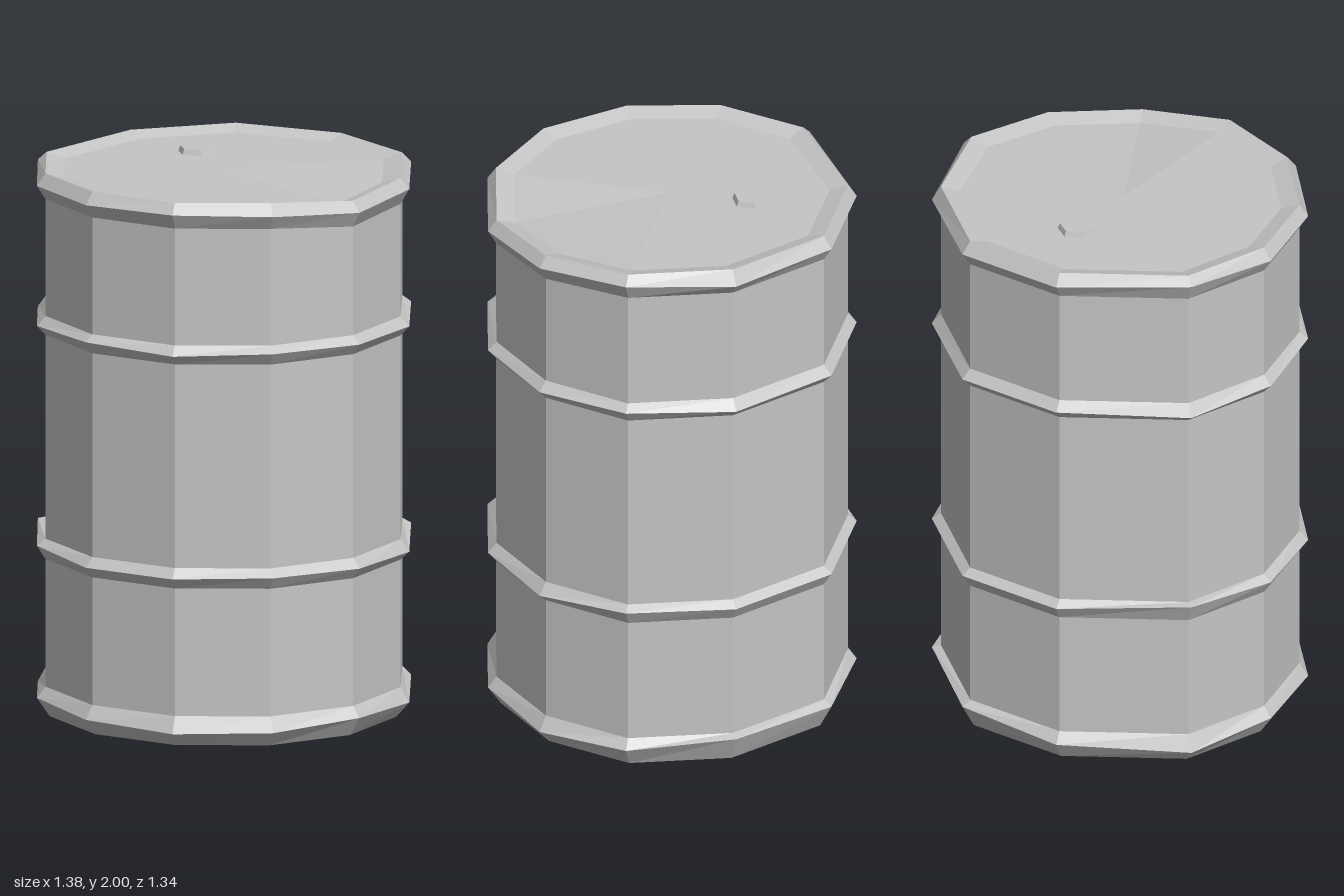
import * as THREE from 'three';

const steel = new THREE.MeshStandardMaterial({ color: 0xc5c5c5 });
steel.name = 'light grey steel';

// uneven eleven-sided outline (x, z) at the widest point of the hoops
const OUTLINE = [
  [-0.156, -0.676], [0.274, -0.632], [0.589, -0.39], [0.689, -0.046],
  [0.611, 0.305], [0.367, 0.565], [0.022, 0.668], [-0.33, 0.583],
  [-0.589, 0.343], [-0.692, 0], [-0.5, -0.446],
];
const N = OUTLINE.length;
const WALL = 0.953;
const LID = 0.855;

// slightly wavy heights of the hoop edges, one per corner
const baseEdge = [0.09, 0.1, 0.075, 0.055, 0.07, 0.055, 0.05, 0.06, 0.07, 0.05, 0.07];
const lowEdge = [0.63, 0.63, 0.635, 0.61, 0.62, 0.625, 0.62, 0.62, 0.63, 0.65, 0.63];
const highEdge = [1.44, 1.435, 1.45, 1.44, 1.445, 1.45, 1.44, 1.45, 1.44, 1.43, 1.44];
const topEdge = [1.955, 1.945, 1.965, 1.945, 1.93, 1.955, 1.96, 1.955, 1.955, 1.97, 1.955];
// the top rim and lid are dented down at two corners
const dented = (y) => OUTLINE.map((_, i) => y - (i === 3 ? 0.015 : i === 4 ? 0.03 : 0));

// a ring is [scale of outline, height or heights per corner]
function band(name, rings) {
  const pos = [];
  const at = ([s, y], i) => {
    const k = i % N;
    return [OUTLINE[k][0] * s, Array.isArray(y) ? y[k] : y, OUTLINE[k][1] * s];
  };
  for (let r = 0; r < rings.length - 1; r++) {
    for (let i = 0; i < N; i++) {
      const a = at(rings[r], i), b = at(rings[r], i + 1);
      const d = at(rings[r + 1], i), c = at(rings[r + 1], i + 1);
      if (rings[r][0] > 0) pos.push(...a, ...d, ...b);
      if (rings[r + 1][0] > 0) pos.push(...b, ...d, ...c);
    }
  }
  const geo = new THREE.BufferGeometry();
  geo.setAttribute('position', new THREE.Float32BufferAttribute(pos, 3));
  geo.computeVertexNormals();
  const mesh = new THREE.Mesh(geo, steel);
  mesh.name = name;
  return mesh;
}

export function createModel() {
  const barrel = new THREE.Group();
  barrel.name = 'barrel';

  barrel.add(
    band('bottom', [[0, 0.03], [LID, 0.03]]),
    band('bottomRim', [[LID, 0.03], [0.93, 0], [1, baseEdge], [WALL, 0.11]]),
    band('lowerWall', [[WALL, 0.11], [WALL, 0.58]]),
    band('lowerHoop', [[WALL, 0.58], [1, lowEdge], [WALL, 0.655]]),
    band('middleWall', [[WALL, 0.655], [WALL, 1.405]]),
    band('upperHoop', [[WALL, 1.405], [1, highEdge], [WALL, 1.475]]),
    band('upperWall', [[WALL, 1.475], [WALL, dented(1.905)]]),
    band('topRim', [[WALL, dented(1.905)], [1, topEdge], [WALL, dented(2)], [LID, dented(1.98)]]),
    band('lid', [[LID, dented(1.98)], [0, 1.98]]),
  );

  // hexagonal bung in the lid
  const bungGeo = new THREE.CylinderGeometry(0.062, 0.074, 0.03, 6).rotateY(Math.PI / 6).toNonIndexed();
  bungGeo.computeVertexNormals();
  const bung = new THREE.Mesh(bungGeo, steel);
  bung.name = 'bung';
  bung.position.set(-0.17, 1.985, -0.243);
  barrel.add(bung);

  return barrel;
}
